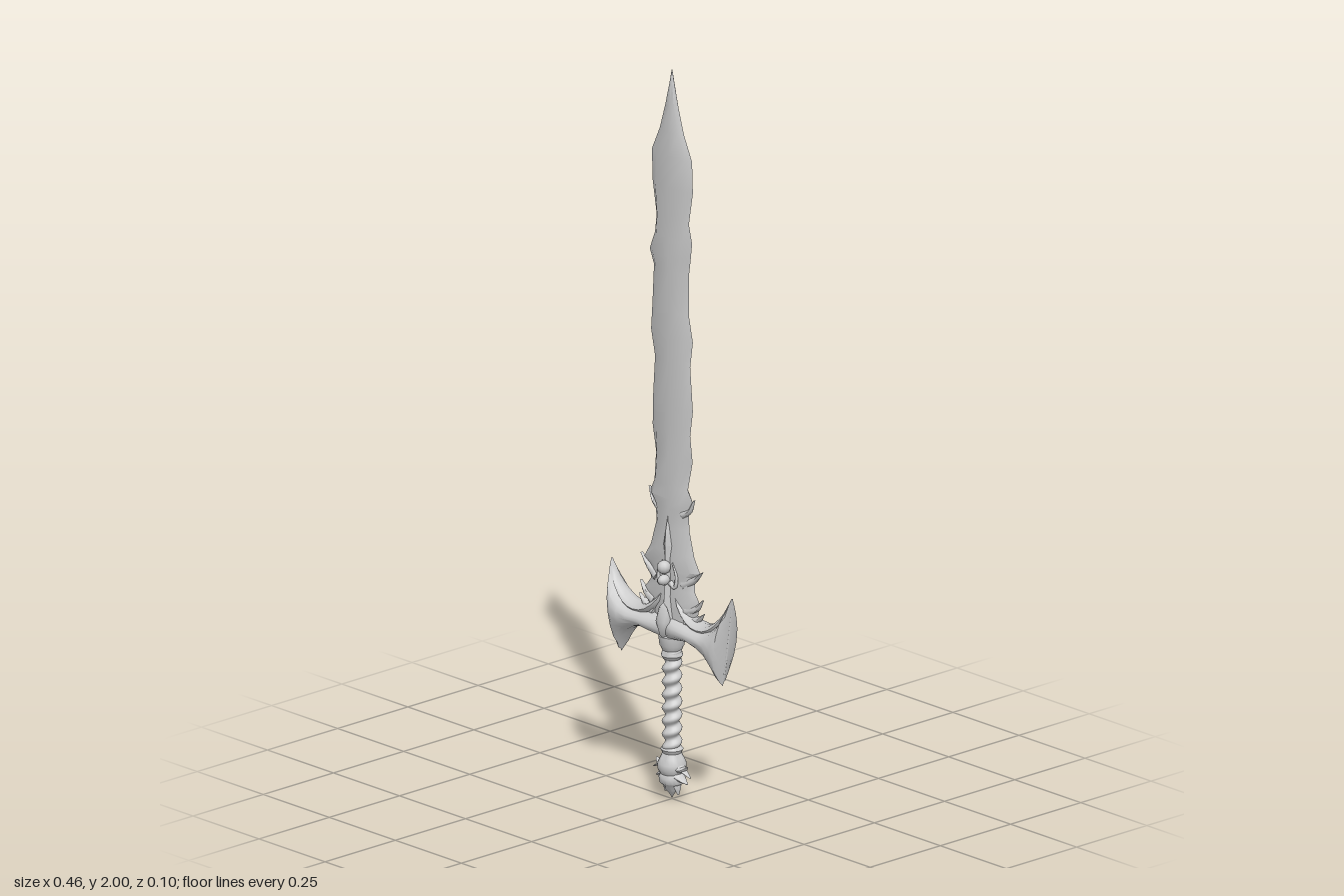
import * as THREE from 'three';
import { toCreasedNormals } from 'three/addons/utils/BufferGeometryUtils.js';

const steel = new THREE.MeshStandardMaterial({ color: 0xcccccc });
steel.name = 'light grey steel';

// Skin a list of equal-length rings of [x, y, z]; mirror = true builds the -x twin.
function loft(rings, mirror = false, crease = 0.6) {
  const n = rings[0].length;
  const rows = mirror ? rings.map(r => r.map(([x, y, z]) => [-x, y, z]).reverse()) : rings;
  const pos = [];
  const tri = (a, b, c) => pos.push(...a, ...b, ...c);
  for (let i = 0; i < rows.length - 1; i++) {
    for (let j = 0; j < n; j++) {
      const k = (j + 1) % n, a = rows[i], b = rows[i + 1];
      tri(a[j], a[k], b[k]);
      tri(a[j], b[k], b[j]);
    }
  }
  const first = rows[0], last = rows[rows.length - 1];
  for (let j = 1; j < n - 1; j++) {
    tri(first[0], first[j + 1], first[j]);
    tri(last[0], last[j], last[j + 1]);
  }
  const g = new THREE.BufferGeometry();
  g.setAttribute('position', new THREE.Float32BufferAttribute(pos, 3));
  return toCreasedNormals(g, crease);
}

// Curved horn in the xy plane; radius(t) in plane, depth(t) along z.
function horn(points, radius, depth, mirror = false, z = 0, steps = 14) {
  const curve = new THREE.CatmullRomCurve3(points.map(([x, y]) => new THREE.Vector3(x, y, 0)));
  const rings = [];
  for (let i = 0; i <= steps; i++) {
    const t = i / steps, p = curve.getPoint(t), d = curve.getTangent(t), ring = [];
    for (let j = 0; j < 8; j++) {
      const a = j / 8 * Math.PI * 2, r = radius(t) * Math.cos(a);
      ring.push([p.x - d.y * r, p.y + d.x * r, z + depth(t) * Math.sin(a)]);
    }
    rings.push(ring);
  }
  return loft(rings, mirror, 1);
}

export function createModel() {
  const model = new THREE.Group();
  const add = (name, geometry, parent = model) => {
    const m = new THREE.Mesh(geometry, steel);
    m.name = name;
    parent.add(m);
    return m;
  };

  // Blade: [y, left edge, right edge, half thickness], nicked along both edges
  const bladeRows = [
    [0.47, 0.06, 0.06, 0.015], [0.53, 0.095, 0.1, 0.016], [0.56, 0.1, 0.105, 0.016],
    [0.585, 0.08, 0.088, 0.016], [0.625, 0.082, 0.085, 0.016], [0.64, 0.105, 0.108, 0.016],
    [0.68, 0.08, 0.085, 0.016], [0.75, 0.058, 0.066, 0.015], [0.8, 0.062, 0.064, 0.015],
    [0.825, 0.083, 0.082, 0.015], [0.86, 0.066, 0.06, 0.015], [0.94, 0.06, 0.078, 0.015],
    [1.01, 0.073, 0.069, 0.013], [1.08, 0.072, 0.079, 0.015], [1.2, 0.064, 0.069, 0.015],
    [1.27, 0.079, 0.079, 0.015], [1.34, 0.074, 0.064, 0.015], [1.45, 0.068, 0.064, 0.015],
    [1.49, 0.084, 0.07, 0.015], [1.54, 0.064, 0.076, 0.014], [1.59, 0.058, 0.064, 0.014],
    [1.68, 0.073, 0.079, 0.014], [1.765, 0.076, 0.076, 0.014], [1.83, 0.046, 0.046, 0.012],
    [1.9, 0.025, 0.025, 0.009], [1.96, 0.01, 0.01, 0.006], [2, 0.001, 0.001, 0.001]
  ];
  add('blade', loft(bladeRows.map(([y, l, r, t]) => {
    const f = 0.66 + 0.12 * Math.sin(y * 9), g = 0.66 + 0.12 * Math.cos(y * 11); // uneven hammered bevels
    return [
      [r, y, 0], [r * f, y, -t * 0.75], [0, y, -t], [-l * g, y, -t * 0.75],
      [-l, y, 0], [-l * f, y, t * 0.75], [0, y, t], [r * g, y, t * 0.75]
    ];
  })));

  // Crossguard wing: [top x, top y, bottom x, bottom y, outward bow, half depth]
  const wingRows = [
    [0, 0.505, 0, 0.44, 0, 0.034], [0.04, 0.5, 0.04, 0.447, 0, 0.043],
    [0.09, 0.495, 0.09, 0.455, 0, 0.046], [0.135, 0.495, 0.125, 0.445, 0, 0.047],
    [0.17, 0.508, 0.152, 0.427, 0.002, 0.047], [0.197, 0.533, 0.172, 0.4, 0.003, 0.047],
    [0.216, 0.567, 0.183, 0.376, 0.001, 0.041], [0.225, 0.59, 0.189, 0.362, 0, 0.026],
    [0.229, 0.606, 0.192, 0.357, 0.002, 0.003]
  ];
  const wingRings = wingRows.map(([tx, ty, bx, by, bow, w]) => {
    const ring = [];
    for (let j = 0; j < 16; j++) {
      const a = j / 16 * Math.PI * 2, s = (1 - Math.cos(a)) / 2;
      const side = Math.sin(a);
      ring.push([tx + (bx - tx) * s + bow * side * side, ty + (by - ty) * s,
        w * Math.sign(side) * Math.pow(Math.abs(side), 0.8)]);
    }
    return ring;
  });

  // Parts repeated on both sides
  for (const mirror of [false, true]) {
    const side = new THREE.Group();
    side.name = mirror ? 'rightSide' : 'leftSide';
    model.add(side);
    add('guardWing', loft(wingRings, mirror, 0.8), side);

    // Raised crescent running from the blade root out to the horn tip
    add('guardCrescent', horn(
      [[0.012, 0.61], [0.035, 0.545], [0.09, 0.502], [0.15, 0.502], [0.202, 0.545], [0.228, 0.604]],
      t => 0.001 + 0.013 * Math.sin(Math.PI * t), t => 0.003 + 0.026 * Math.sin(Math.PI * t), mirror), side);

    // Barbs at the blade root
    const barbs = [
      [[0.06, 0.5], [0.1, 0.515], [0.121, 0.535]],
      [[0.06, 0.53], [0.095, 0.545], [0.117, 0.572]],
      [[0.05, 0.6], [0.085, 0.62], [0.115, 0.648]],
      [[0.045, 0.79], [0.068, 0.805], [0.084, 0.838]]
    ];
    barbs.forEach((p, i) => add('barb', horn(p, t => 0.001 + (i < 3 ? 0.015 : 0.01) * (1 - t),
      t => 0.004 + (i < 3 ? 0.013 : 0.009) * (1 - t), mirror, 0, 6), side));

    // Small scrolls beside the central ornament, front and back
    for (const z of [-0.016, 0.016]) {
      add('scroll', horn([[0.012, 0.6], [0.028, 0.59], [0.034, 0.62], [0.018, 0.655]],
        t => 0.001 + 0.007 * (1 - t), t => 0.002 + 0.008 * (1 - t), mirror, z, 10), side);
    }

    // Pommel claws spreading sideways
    const claws = [
      [[0.01, 0.108], [0.036, 0.092], [0.069, 0.073]],
      [[0.015, 0.075], [0.038, 0.062], [0.058, 0.053]],
      [[0.008, 0.06], [0.02, 0.04], [0.024, 0.016]],
      [[0.02, 0.09], [0.043, 0.09], [0.058, 0.1]]
    ];
    claws.forEach(p => add('pommelClaw', horn(p, t => 0.001 + 0.013 * (1 - t),
      t => 0.003 + 0.022 * (1 - t), mirror, 0, 6), side));
  }

  // Central spear ornament lying over the blade root
  const spear = [[0.48, 0.028, 0.036], [0.56, 0.014, 0.028], [0.6, 0.017, 0.025],
    [0.66, 0.013, 0.024], [0.7, 0.022, 0.025], [0.74, 0.011, 0.023], [0.785, 0.001, 0.014]];
  add('centreSpear', loft(spear.map(([y, w, d]) =>
    [[w, y, 0], [w * 0.6, y, -d * 0.7], [0, y, -d], [-w * 0.6, y, -d * 0.7],
      [-w, y, 0], [-w * 0.6, y, d * 0.7], [0, y, d], [w * 0.6, y, d * 0.7]])));

  // Studs and guard bosses, front and back
  for (const s of [-1, 1]) {
    for (const [y, r] of [[0.642, 0.018], [0.607, 0.014]]) {
      const stud = add('stud', new THREE.SphereGeometry(1, 12, 8));
      stud.scale.set(r, r, 0.019);
      stud.position.set(0, y, s * 0.029);
    }
    const boss = add('guardBoss', new THREE.OctahedronGeometry(1, 1));
    boss.scale.set(0.022, 0.05, 0.018);
    boss.position.set(0, 0.495, s * 0.031);
  }

  // Grip: a cylinder with a spiral ridge
  const grip = new THREE.CylinderGeometry(1, 1, 0.32, 20, 90, true);
  const p = grip.attributes.position;
  for (let i = 0; i < p.count; i++) {
    const a = Math.atan2(p.getZ(i), p.getX(i)), y = p.getY(i);
    const r = 0.0225 + 0.0045 * Math.sin(y / 0.036 * Math.PI * 2 + a);
    p.setXYZ(i, Math.cos(a) * r, y, Math.sin(a) * r);
  }
  grip.computeVertexNormals();
  add('grip', grip).position.y = 0.29;

  // Collar under the guard and turned pommel
  const lathe = (name, pts) => add(name, toCreasedNormals(
    new THREE.LatheGeometry(pts.map(([r, y]) => new THREE.Vector2(r, y)), 20), 0.7));
  lathe('collar', [[0.022, 0.385], [0.029, 0.395], [0.025, 0.41], [0.033, 0.425], [0.036, 0.45], [0, 0.47]]);
  lathe('pommel', [[0, 0.003], [0.007, 0.015], [0.016, 0.025], [0.02, 0.037], [0.032, 0.047], [0.035, 0.062],
    [0.031, 0.072], [0.038, 0.085], [0.038, 0.1], [0.031, 0.115], [0.025, 0.128], [0.03, 0.138], [0.021, 0.15]]);
  add('pommelSpike', new THREE.ConeGeometry(0.012, 0.05, 8).rotateX(Math.PI)).position.y = 0.025;

  return model;
}
